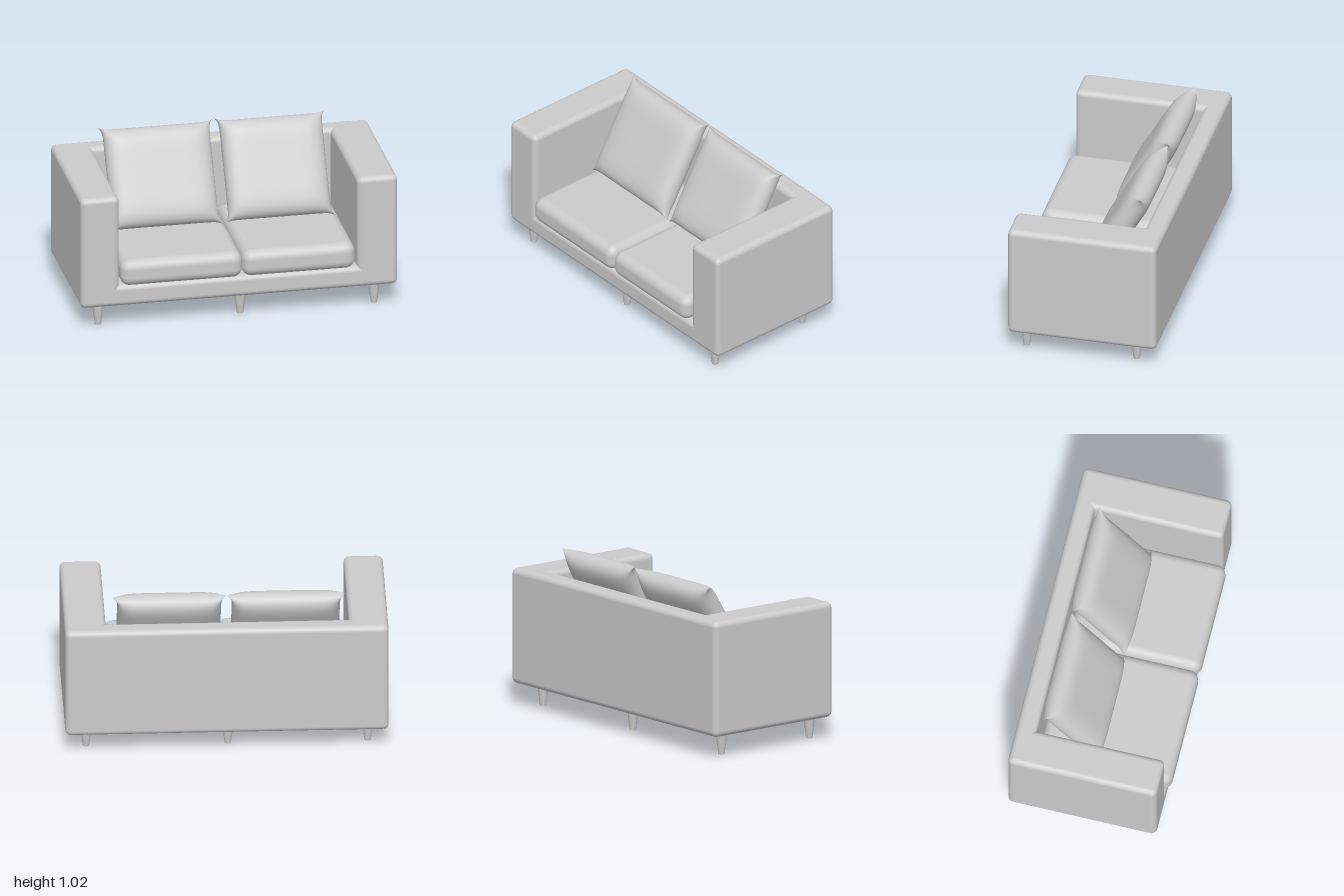
import * as THREE from 'three';
import { RoundedBoxGeometry } from 'three/addons/geometries/RoundedBoxGeometry.js';
import { mergeGeometries, mergeVertices } from 'three/addons/utils/BufferGeometryUtils.js';

const grey = new THREE.MeshStandardMaterial({ color: 0xcccccc });

function add(parent, name, geometry, x = 0, y = 0, z = 0) {
  const mesh = new THREE.Mesh(geometry, grey);
  mesh.name = name;
  mesh.position.set(x, y, z);
  parent.add(mesh);
  return mesh;
}

// Rounded box given by its limits on each axis
function block(parent, name, [x0, x1], [y0, y1], [z0, z1], radius) {
  const geometry = new RoundedBoxGeometry(x1 - x0, y1 - y0, z1 - z0, 6, radius);
  return add(parent, name, geometry, (x0 + x1) / 2, (y0 + y1) / 2, (z0 + z1) / 2);
}

// Plump pillow with a thin seam and pointed ears at the corners
function pillowGeometry(halfWidth, halfHeight, halfDepth, ear) {
  const n = 36;
  const side = (sign) => {
    const g = new THREE.PlaneGeometry(2, 2, n, n);
    const p = g.attributes.position;
    const swell = (t) => Math.sqrt(Math.max(0, 1 - Math.abs(t) ** 7));
    for (let i = 0; i < p.count; i++) {
      const u = Math.sin(p.getX(i) * Math.PI / 2);
      const v = Math.sin(p.getY(i) * Math.PI / 2);
      p.setXYZ(i,
        sign * u * (halfWidth + ear * Math.abs(v) ** 14),
        v * (halfHeight + ear * 0.7 * Math.abs(u) ** 14),
        sign * halfDepth * swell(u) * swell(v));
    }
    g.deleteAttribute('uv');
    g.deleteAttribute('normal');
    return g;
  };
  const pillow = mergeVertices(mergeGeometries([side(1), side(-1)]), 1e-5);
  pillow.computeVertexNormals();
  return pillow;
}

export function createModel() {
  const sofa = new THREE.Group();
  sofa.name = 'sofa';

  // Upholstered body
  const body = new THREE.Group();
  body.name = 'body';
  sofa.add(body);
  const depth = [-0.49, 0.455];
  block(body, 'rightArm', [-1, -0.757], [0.14, 0.87], depth, 0.035);
  block(body, 'leftArm', [0.745, 1], [0.14, 0.87], depth, 0.035);
  block(body, 'seatBase', [-0.92, 0.92], [0.14, 0.278], depth, 0.035);
  block(body, 'backrest', [-0.92, 0.92], [0.14, 0.87], [-0.49, -0.362], 0.035);

  // Seat cushions
  block(sofa, 'rightSeatCushion', [-0.75, 0.018], [0.275, 0.445], [-0.36, 0.487], 0.06);
  block(sofa, 'leftSeatCushion', [0.018, 0.73], [0.275, 0.445], [-0.36, 0.487], 0.06);

  // Back cushions leaning on the backrest
  for (const [name, x, halfWidth] of [['rightBackCushion', -0.372, 0.335], ['leftBackCushion', 0.35, 0.322]]) {
    const cushion = add(sofa, name, pillowGeometry(halfWidth, 0.312, 0.083, 0.028), x, 0.735, -0.155);
    cushion.rotation.x = -Math.PI / 6;
  }

  // Tapered legs
  const leg = new THREE.CylinderGeometry(0.038, 0.02, 0.15, 24);
  for (const [row, z, xs] of [['front', 0.362, [-0.875, 0.022, 0.867]], ['rear', -0.338, [-0.875, -0.01, 0.867]]]) {
    xs.forEach((x, i) => add(sofa, row + ['Right', 'Middle', 'Left'][i] + 'Leg', leg, x, 0.075, z));
  }
  return sofa;
}
